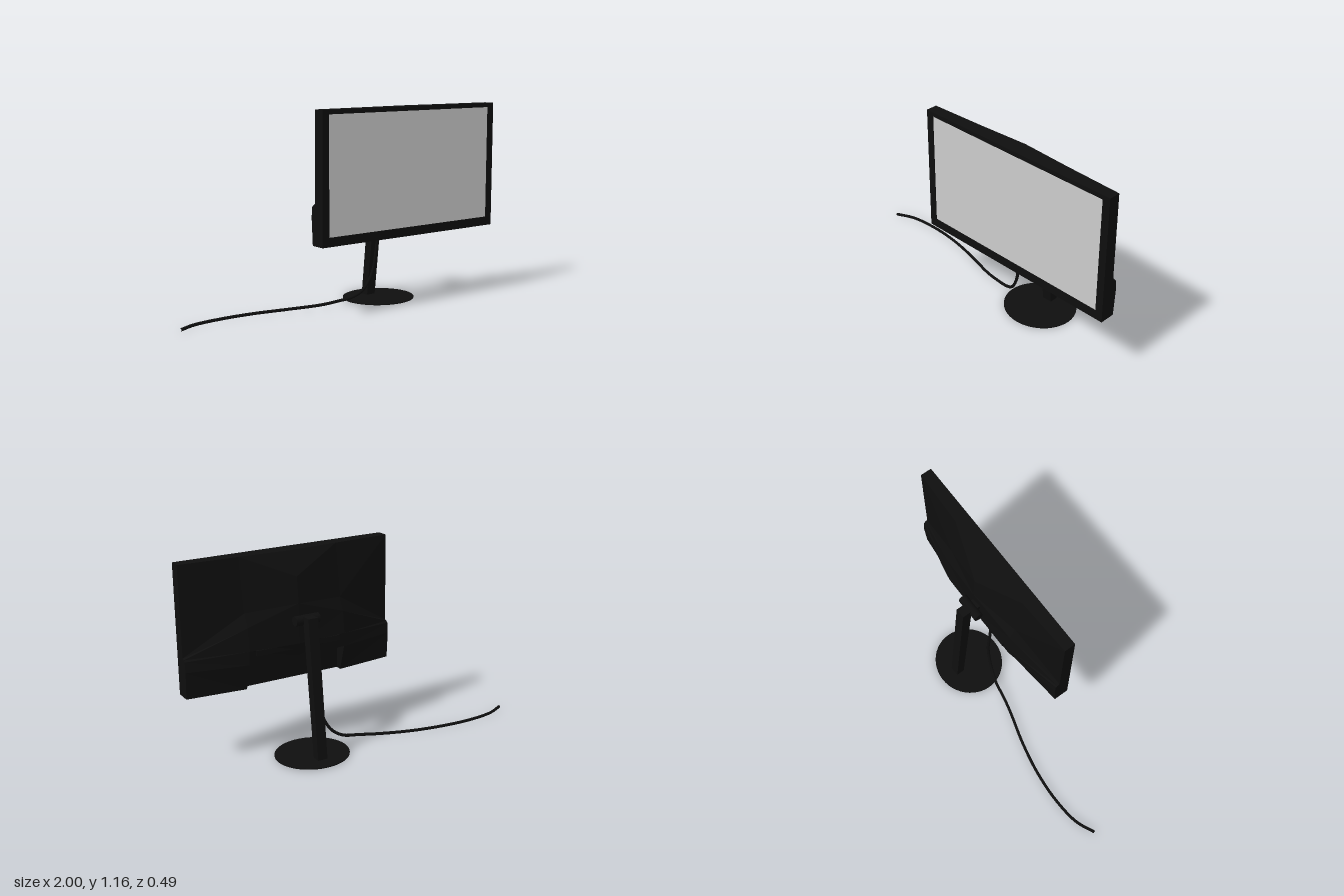
import * as THREE from 'three';

const black = new THREE.MeshStandardMaterial({ color: 0x0e0e0e });
const shellMat = new THREE.MeshStandardMaterial({ color: 0x0e0e0e, flatShading: true, side: THREE.DoubleSide });
const grey = new THREE.MeshStandardMaterial({ color: 0xcccccc });

function add(parent, name, geometry, material, x = 0, y = 0, z = 0) {
  const mesh = new THREE.Mesh(geometry, material);
  mesh.name = name;
  mesh.position.set(x, y, z);
  parent.add(mesh);
  return mesh;
}

// Flat-shaded sheet spanning a list of equally long point rows
function sheet(rows) {
  const pos = [];
  for (let i = 0; i + 1 < rows.length; i++) {
    for (let j = 0; j + 1 < rows[i].length; j++) {
      const a = rows[i][j], b = rows[i][j + 1], c = rows[i + 1][j + 1], d = rows[i + 1][j];
      pos.push(...a, ...b, ...c, ...a, ...c, ...d);
    }
  }
  const g = new THREE.BufferGeometry();
  g.setAttribute('position', new THREE.Float32BufferAttribute(pos, 3));
  g.computeVertexNormals();
  return g;
}

const rect = (C, x0, y0, x1, y1) => {
  const s = new C();
  s.moveTo(x0, y0); s.lineTo(x1, y0); s.lineTo(x1, y1); s.lineTo(x0, y1); s.closePath();
  return s;
};

function createDisplay() {
  const g = new THREE.Group();
  g.name = 'display';
  const W = 0.645, IN = 0.3, FRONT = 0.17, TOP = 1.16, BOTTOM = 0.415;

  // Bezel and screen
  const frame = rect(THREE.Shape, -W, BOTTOM, W, TOP);
  frame.holes.push(rect(THREE.Path, -0.6, 0.467, 0.6, 1.135));
  add(g, 'bezel', new THREE.ExtrudeGeometry(frame, { depth: 0.065, bevelEnabled: false }), black, 0, 0, FRONT);
  add(g, 'screen', new THREE.PlaneGeometry(1.2, 0.668), grey, 0, 0.801, 0.231);

  // Back shell columns as [y, z] from top to bottom: outer edge, inner edge, centre
  const outer = [[TOP, 0.168], [0.645, 0.165], [0.64, 0.15], [0.63, 0.14], [0.57, 0.135], [BOTTOM, 0.145]];
  const inner = [[TOP, 0.153], [0.855, 0.11], [0.78, 0.075], [0.65, 0.06], [0.57, 0.065], [BOTTOM, 0.11]];
  const centre = [[TOP, 0.135], [1.03, 0.06], [0.88, 0.045], [0.65, 0.04], [0.57, 0.06]];
  const col = (x, list) => list.map(([y, z]) => [x, y, z]);
  const toFront = (x, list) => list.map(([y]) => [x, y, FRONT]);

  for (const s of [-1, 1]) {
    add(g, 'backPanel', sheet([col(s * W, outer), col(s * IN, inner)]), shellMat);
    add(g, 'centrePanel', sheet([col(s * IN, inner.slice(0, 5)), col(0, centre)]), shellMat);
    add(g, 'sideWall', sheet([toFront(s * W, outer), col(s * W, outer)]), shellMat);
    add(g, 'topWall', sheet([
      [[s * W, TOP, FRONT], [s * IN, TOP, FRONT], [0, TOP, FRONT]],
      [[s * W, ...outer[0]], [s * IN, ...inner[0]], [0, ...centre[0]]],
    ]), shellMat);
    add(g, 'lowerBlockBase', sheet([
      [[s * W, BOTTOM, FRONT], [s * IN, BOTTOM, FRONT]],
      [[s * W, ...outer[5]], [s * IN, ...inner[5]]],
    ]), shellMat);
    add(g, 'lowerBlockInnerWall', sheet([
      toFront(s * IN, inner.slice(4)), col(s * IN, inner.slice(4)),
    ]), shellMat);
  }

  // Recess for the connectors between the two lower blocks
  const recess = [[0.57, 0.14], [BOTTOM, 0.15], [BOTTOM, FRONT]];
  add(g, 'connectorRecess', sheet([col(-IN, recess), col(IN, recess)]), shellMat);
  add(g, 'recessCeiling', sheet([
    [[-IN, ...inner[4]], [0, ...centre[4]], [IN, ...inner[4]]],
    [[-IN, 0.57, 0.14], [0, 0.57, 0.14], [IN, 0.57, 0.14]],
  ]), shellMat);
  add(g, 'backRib', new THREE.BoxGeometry(0.52, 0.03, 0.03), black, 0, 0.635, 0.065);

  // The display is turned very slightly on its stand
  g.position.x = 0.355;
  g.rotation.y = -0.0155;
  return g;
}

function createStand() {
  const g = new THREE.Group();
  g.name = 'stand';
  const base = add(g, 'base', new THREE.CylinderGeometry(1, 1, 0.006, 48), black, 0.333, 0.006, -0.04);
  base.scale.set(0.218, 1, 0.205);

  // Leaning column: side profile drawn in (-z, y), extruded across x
  const profile = new THREE.Shape(
    [[0.105, 0.005], [0.155, 0.005], [0.07, 0.82], [0.01, 0.82]].map(([x, y]) => new THREE.Vector2(x, y)));
  const neck = add(g, 'neck', new THREE.ExtrudeGeometry(profile, { depth: 0.06, bevelEnabled: false }), black, 0.3);
  neck.rotation.y = Math.PI / 2;

  const hinge = add(g, 'hinge', new THREE.CylinderGeometry(0.028, 0.028, 0.15, 24), black, 0.33, 0.795, 0.005);
  hinge.rotation.z = Math.PI / 2;
  add(g, 'hingeMount', new THREE.BoxGeometry(0.06, 0.03, 0.05), black, 0.33, 0.795, 0.025);
  return g;
}

export function createModel() {
  const model = new THREE.Group();
  model.name = 'monitor';
  model.add(createDisplay(), createStand());

  // Cable hanging from the back and trailing along the table
  const path = new THREE.CatmullRomCurve3([
    [0.24, 0.6, 0.078], [0.24, 0.45, 0.064], [0.237, 0.3, 0.047], [0.217, 0.18, 0.038], [0.165, 0.085, 0.02],
    [0.1, 0.045, 0.0], [0, 0.031, -0.018], [-0.1, 0.02, -0.042], [-0.3, 0.013, -0.102], [-0.5, 0.012, -0.145],
    [-0.7, 0.011, -0.162], [-0.88, 0.011, -0.147], [-0.995, 0.011, -0.1],
  ].map((p) => new THREE.Vector3(...p)));
  add(model, 'cable', new THREE.TubeGeometry(path, 80, 0.009, 8), black);
  return model;
}
